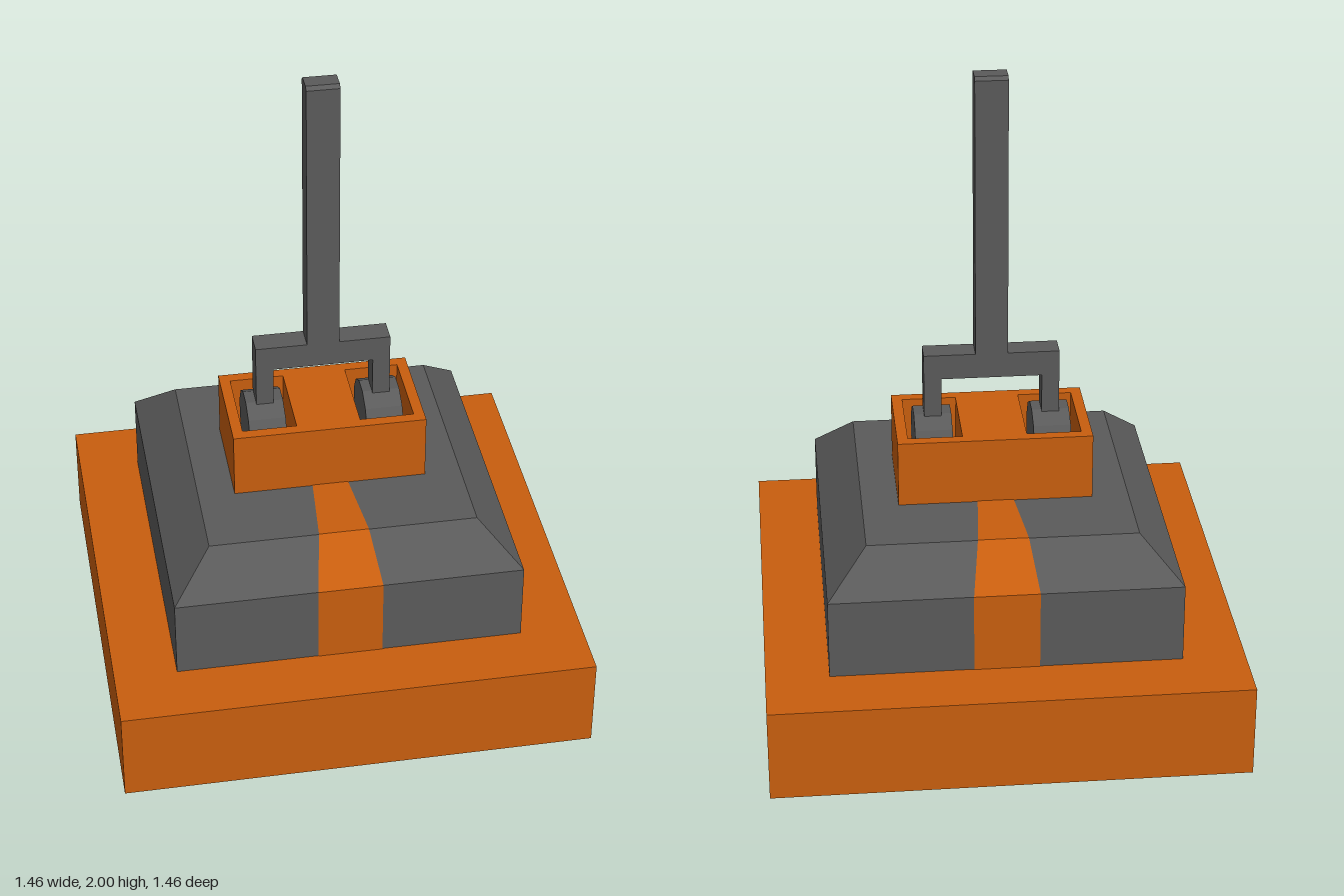
import * as THREE from 'three';

const orange = new THREE.MeshStandardMaterial({ color: 0xc85e0e, flatShading: true });
const stripeOrange = new THREE.MeshStandardMaterial({ color: 0xc85e0e, flatShading: true, side: THREE.DoubleSide });
const grey = new THREE.MeshStandardMaterial({ color: 0x5a5a5a, flatShading: true });

export function createModel() {
  const model = new THREE.Group();
  model.name = 'plungerSwitch';

  const add = (name, geometry, material) => {
    const mesh = new THREE.Mesh(geometry, material);
    mesh.name = name;
    model.add(mesh);
    return mesh;
  };
  // Box given by its centre x, bottom, top and sizes
  const box = (name, x, y0, y1, w, d, material) =>
    add(name, new THREE.BoxGeometry(w, y1 - y0, d), material).position.set(x, (y0 + y1) / 2, 0);
  const rect = (path, x, y, w, h) => path
    .moveTo(x - w / 2, y - h / 2).lineTo(x + w / 2, y - h / 2)
    .lineTo(x + w / 2, y + h / 2).lineTo(x - w / 2, y + h / 2).closePath();

  // Square base
  box('base', 0, 0, 0.295, 1.46, 1.46, orange);

  // Body with bevelled shoulders: a four-sided lathe
  const profile = [[0, 0.295], [0.537, 0.295], [0.537, 0.547], [0.413, 0.67], [0, 0.67]]
    .map(([r, y]) => new THREE.Vector2(r * Math.SQRT2, y));
  add('body', new THREE.LatheGeometry(profile, 4, Math.PI / 4), grey);

  // Tapering stripe running up the front, over the top and down the back
  const half = [[0.1, 0.295, 0.539], [0.1, 0.548, 0.539], [0.077, 0.672, 0.414], [0.055, 0.672, 0.16]];
  const rows = [...half, ...half.map(([w, y, z]) => [w, y, -z]).reverse()];
  const positions = [];
  const index = [];
  rows.forEach(([w, y, z], i) => {
    positions.push(-w, y, z, w, y, z);
    const a = i * 2;
    if (i < rows.length - 1) index.push(a, a + 1, a + 3, a, a + 3, a + 2);
  });
  const stripe = new THREE.BufferGeometry();
  stripe.setAttribute('position', new THREE.Float32BufferAttribute(positions, 3));
  stripe.setIndex(index);
  stripe.computeVertexNormals();
  add('stripe', stripe, stripeOrange);

  // Top block with two pockets for the wheels
  const outline = new THREE.Shape();
  rect(outline, 0, 0, 0.6, 0.34);
  for (const s of [-1, 1]) {
    const pocket = new THREE.Path();
    rect(pocket, s * 0.183, 0, 0.168, 0.27);
    outline.holes.push(pocket);
  }
  const block = new THREE.ExtrudeGeometry(outline, { depth: 0.2, bevelEnabled: false });
  block.rotateX(-Math.PI / 2).translate(0, 0.68, 0);
  add('topBlock', block, orange);
  box('pocketFloor', 0, 0.67, 0.68, 0.6, 0.34, orange);

  // Pivot wheels and the arms that rise from them
  for (const s of [-1, 1]) {
    const side = s > 0 ? 'left' : 'right';
    const wheel = new THREE.CylinderGeometry(0.118, 0.118, 0.116, 12);
    wheel.rotateY(Math.PI / 12).rotateZ(Math.PI / 2);
    add(side + 'Wheel', wheel, grey).position.set(s * 0.183, 0.795, 0);
    box(side + 'Arm', s * 0.182, 0.82, 1.11, 0.054, 0.076, grey);
  }

  // Crossbar and upright handle with a softened top
  box('crossbar', 0, 1.03, 1.11, 0.31, 0.076, grey);
  const side = new THREE.Shape([[-0.039, 1.1], [0.039, 1.1], [0.039, 1.99], [0.027, 2], [-0.027, 2], [-0.039, 1.99]]
    .map(([z, y]) => new THREE.Vector2(z, y)));
  const handle = new THREE.ExtrudeGeometry(side, { depth: 0.1, bevelEnabled: false });
  handle.translate(0, 0, -0.05).rotateY(Math.PI / 2);
  add('handle', handle, grey);

  return model;
}
